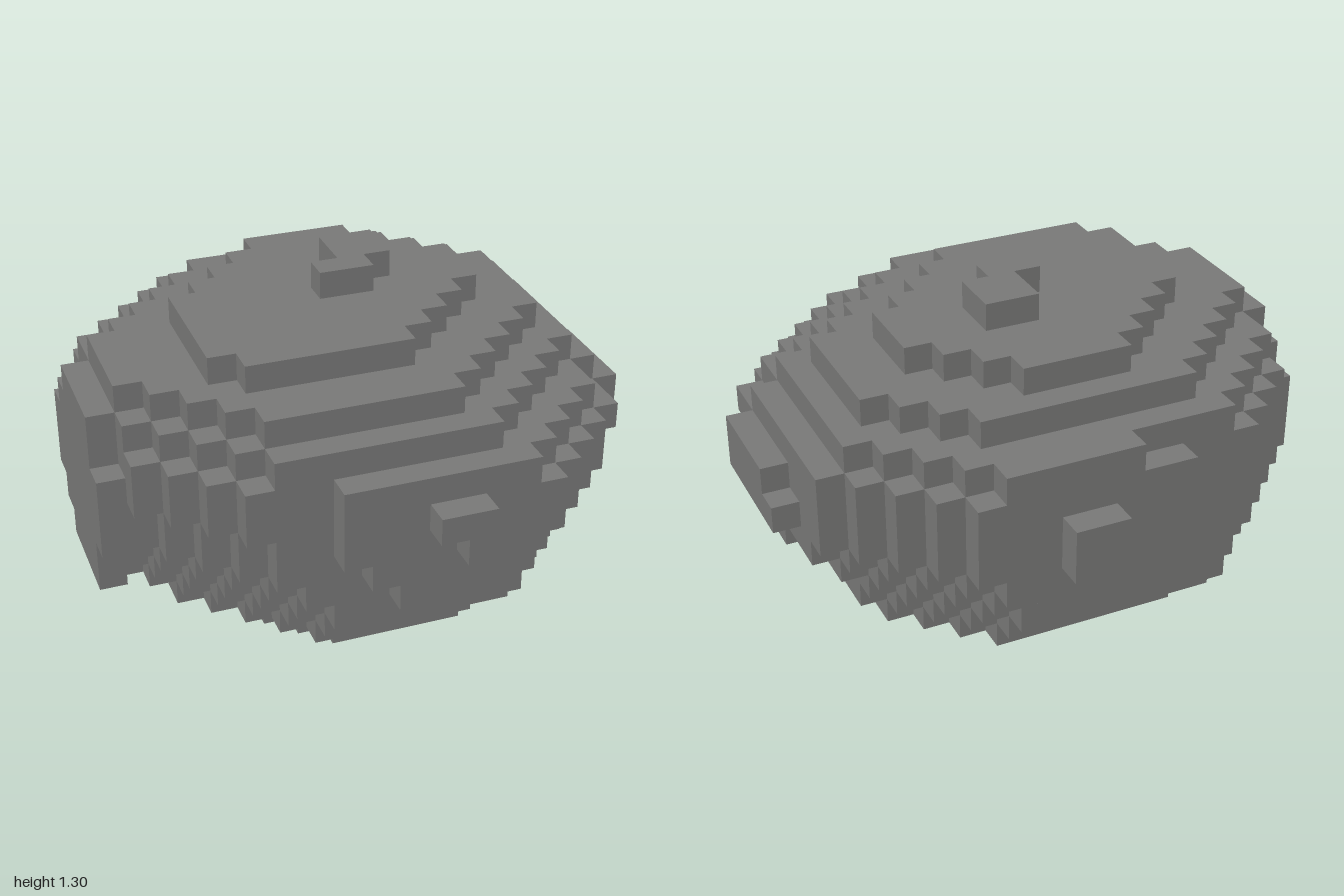
import * as THREE from 'three';

const CELL = 0.1;
const HALF = CELL / 2;

// Stepped octagonal slabs, bottom to top. Bounds are slab edges; the four cuts
// limit |x| + |z| of the cell centres in each corner.
// [xMin, xMax, zMin, zMax, frontLeft, frontRight, backLeft, backRight]
const LAYERS = [
  [-0.4, 0.4, -0.35, 0.45, 0.65, 0.55, 0.45, 0.55],
  [-0.7, 0.6, -0.55, 0.55, 0.75, 0.75, 0.75, 0.85],
  [-0.9, 0.7, -0.65, 0.65, 0.95, 0.85, 0.85, 1.05],
  [-0.9, 0.7, -0.75, 0.75, 1.05, 0.95, 0.95, 1.15],
  [-0.9, 0.8, -0.75, 0.75, 1.05, 1.05, 1.05, 1.15],
  [-0.9, 0.8, -0.75, 0.75, 1.15, 1.15, 1.15, 1.25],
  [-0.9, 0.8, -0.75, 0.75, 1.25, 1.15, 1.25, 1.25],
  [-0.9, 0.8, -0.75, 0.75, 1.25, 1.25, 1.25, 1.25],
  [-0.9, 0.8, -0.75, 0.75, 1.15, 1.25, 1.25, 1.25],
  [-0.9, 0.8, -0.75, 0.75, 0.95, 1.15, 1.15, 1.15],
  [-0.9, 0.7, -0.65, 0.65, 0.75, 1.05, 0.95, 0.95],
  [-0.6, 0.5, -0.55, 0.45, 0.45, 0.85, 0.65, 0.65],
];

// Raised plates on the four flanks: bottom height and [min, max] of each row
const FRONT_ROWS = [[-0.1, 0.3], [-0.2, 0.4], [-0.3, 0.5], [-0.3, 0.5], [-0.3, 0.4]];
const BACK_ROWS = [[-0.2, 0.4], [-0.3, 0.5], [-0.3, 0.5], [-0.3, 0.5], [-0.1, 0.4]];
const LEFT_ROWS = [[-0.05, 0.05], [-0.35, 0.25], [-0.45, 0.35], [-0.45, 0.45], [-0.45, 0.25]];
const RIGHT_ROWS = [[-0.15, 0.25], [-0.25, 0.25], [-0.35, 0.35], [-0.35, 0.35],
  [-0.35, 0.35], [-0.25, 0.25], [-0.15, 0.25]];

// Stair-stepped outline from rows of [min, max], stacked along +y of the shape
function steppedGeometry(rows, start) {
  const rightSide = [], leftSide = [];
  rows.forEach(([lo, hi], i) => {
    const a = start + i * CELL, b = a + CELL;
    rightSide.push(new THREE.Vector2(hi, a), new THREE.Vector2(hi, b));
    leftSide.unshift(new THREE.Vector2(lo, b), new THREE.Vector2(lo, a));
  });
  const points = [...rightSide, ...leftSide];
  const outline = points.filter((p, i) =>
    p.distanceTo(points[(i + 1) % points.length]) > 0.001);
  return new THREE.ExtrudeGeometry(new THREE.Shape(outline), {
    depth: CELL, bevelEnabled: false,
  });
}

// One body slab, its rows running from front to back
function slabGeometry([x0, x1, z0, z1, fl, fr, bl, br]) {
  const rows = [];
  for (let z = z1 - HALF; z > z0; z -= CELL) {
    rows.push([
      Math.max(x0, z - fr - HALF, -z - br - HALF),
      Math.min(x1, fl - z + HALF, bl + z + HALF),
    ]);
  }
  return steppedGeometry(rows, -z1).rotateX(-Math.PI / 2);
}

export function createModel() {
  const group = new THREE.Group();
  const stone = new THREE.MeshStandardMaterial({ color: 0x797978 });
  stone.name = 'stone grey';

  const add = (name, geometry) => {
    const mesh = new THREE.Mesh(geometry, stone);
    mesh.name = name;
    group.add(mesh);
    return mesh;
  };
  // Box given by its minimum and maximum corners
  const block = (name, x0, y0, z0, x1, y1, z1) =>
    add(name, new THREE.BoxGeometry(x1 - x0, y1 - y0, z1 - z0))
      .position.set((x0 + x1) / 2, (y0 + y1) / 2, (z0 + z1) / 2);

  // Boulder body
  LAYERS.forEach((layer, i) => {
    add(`bodyLayer${i + 1}`, slabGeometry(layer)).position.y = i * CELL;
  });

  // Front and back plates
  add('frontPlate', steppedGeometry(FRONT_ROWS, 0.4)).position.z = 0.75;
  add('backPlate', steppedGeometry(BACK_ROWS, 0.5)).position.z = -0.85;

  // Side plates, rows mirrored so that turning them puts +z at the front
  const flank = (rows, start) =>
    steppedGeometry(rows.map(([lo, hi]) => [-hi, -lo]), start).rotateY(Math.PI / 2);
  add('leftPlate', flank(LEFT_ROWS, 0.4)).position.x = 0.8;
  add('rightPlate', flank(RIGHT_ROWS, 0.3)).position.x = -1;
  block('leftChip', 0.7, 0.3, 0.05, 0.8, 0.4, 0.15);

  // Crest on top
  block('crestBack', 0, 1.2, -0.25, 0.2, 1.3, -0.05);
  block('crestFront', -0.1, 1.2, -0.05, 0.1, 1.3, 0.05);

  // L-shaped knobs on front and back
  for (const [side, z] of [['front', 0.85], ['back', -0.95]]) {
    block(`${side}KnobTop`, 0, 0.7, z, 0.2, 0.8, z + CELL);
    block(`${side}KnobFoot`, 0.1, 0.6, z, 0.2, 0.7, z + CELL);
  }

  // Stepped pad on the left flank
  block('leftPadTop', 0.9, 0.7, -0.15, 1, 0.8, 0.25);
  block('leftPadBase', 0.9, 0.6, -0.25, 1, 0.7, 0.25);

  return group;
}
